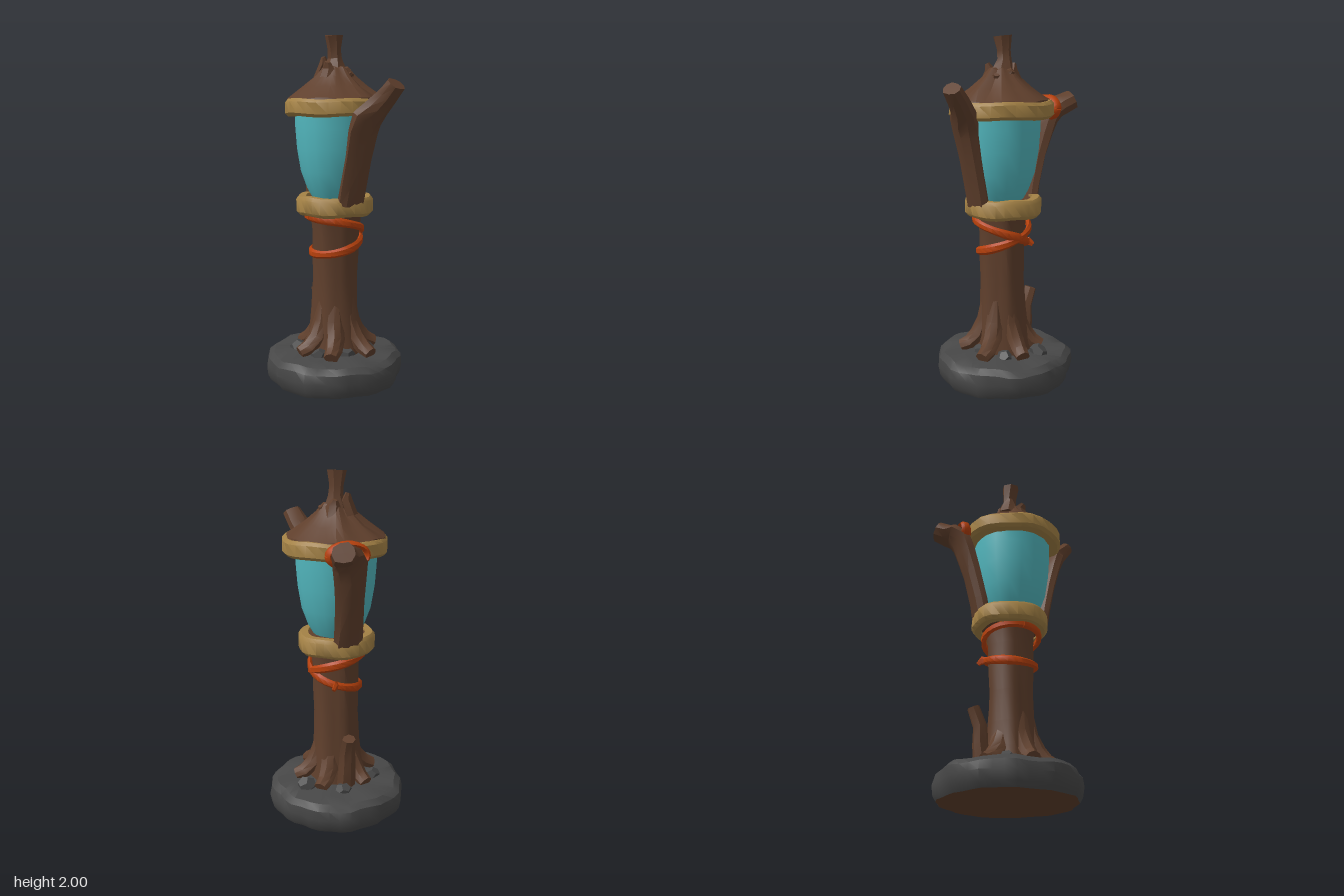
import * as THREE from 'three';
import { toCreasedNormals } from 'three/addons/utils/BufferGeometryUtils.js';

const material = (name, color) => {
  const m = new THREE.MeshStandardMaterial({ color });
  m.name = name;
  return m;
};

export function createModel() {
  const wood = material('wood', 0x5f3f2c);
  const stone = material('stone', 0x474747);
  const gold = material('gold', 0xa38145);
  const glass = material('glass', 0x52b7be);
  const rope = material('rope', 0xb5400c);

  const model = new THREE.Group();
  model.name = 'lantern';

  function add(name, geometry, mat, crease = 0.6) {
    const mesh = new THREE.Mesh(toCreasedNormals(geometry, crease), mat);
    mesh.name = name;
    model.add(mesh);
    return mesh;
  }

  // Turned shape; wobble(angle, y, r) returns [radius factor, y offset]
  function turned(profile, sides, wobble) {
    const g = new THREE.LatheGeometry(profile.map(p => new THREE.Vector2(p[0], p[1])), sides);
    const p = g.attributes.position;
    for (let i = 0; i < p.count; i++) {
      const x = p.getX(i), y = p.getY(i), z = p.getZ(i), r = Math.hypot(x, z);
      if (r < 1e-4) continue;
      const [s, dy] = wobble(Math.atan2(x, z), y, r);
      p.setXYZ(i, x * s, y + dy, z * s);
    }
    return g;
  }

  // Sweep an oval through sections [x, y, z, half width along ref, half depth]
  function sweep(sections, sides = 8, ref = new THREE.Vector3(1, 0, 0), lump = 0.06) {
    const pts = sections.map(s => new THREE.Vector3(s[0], s[1], s[2]));
    const n = pts.length, pos = [], index = [];
    sections.forEach((s, i) => {
      const t = pts[Math.min(i + 1, n - 1)].clone().sub(pts[Math.max(i - 1, 0)]).normalize();
      const side = ref.clone().addScaledVector(t, -ref.dot(t)).normalize();
      const out = t.clone().cross(side);
      for (let j = 0; j < sides; j++) {
        const a = (j / sides) * Math.PI * 2;
        const k = 1 + lump * Math.sin(j * 2.4 + i * 0.9);
        const v = pts[i].clone().addScaledVector(side, Math.cos(a) * s[3] * k)
          .addScaledVector(out, Math.sin(a) * s[4] * k);
        pos.push(v.x, v.y, v.z);
      }
    });
    for (let i = 0; i < n - 1; i++) for (let j = 0; j < sides; j++) {
      const k = (j + 1) % sides, a = i * sides + j, b = i * sides + k;
      index.push(a, b, b + sides, a, b + sides, a + sides);
    }
    const first = n * sides, last = first + 1, end = (n - 1) * sides;
    pos.push(...pts[0].toArray(), ...pts[n - 1].toArray());
    for (let j = 0; j < sides; j++) {
      const k = (j + 1) % sides;
      index.push(first, k, j, last, end + j, end + k);
    }
    const g = new THREE.BufferGeometry();
    g.setAttribute('position', new THREE.Float32BufferAttribute(pos, 3));
    g.setIndex(index);
    return g;
  }

  // Stone base with a scalloped, chipped edge, and its wooden underside
  const chipped = (a, y, r) => [
    1 + (r > 0.3 ? 0.018 * Math.sin(13 * a + 1) + 0.018 * Math.sin(5 * a + y * 12) : 0),
    y > 0.1 ? 0.006 * Math.sin(7 * a + r * 9) : 0];
  add('stoneBase', turned([[0.372, 0], [0.39, 0.03], [0.4, 0.085], [0.391, 0.135], [0.358, 0.165],
    [0.28, 0.174], [0, 0.178]], 40, chipped), stone, 0.6).position.z = -0.022;
  add('underside', turned([[0, 0], [0.372, 0]], 40, chipped), wood).position.z = -0.022;

  // Small rocks among the roots: angle, distance, size
  [[0.95, 0.18, 0.05], [2.0, 0.24, 0.06], [-1.1, 0.18, 0.05], [-2.1, 0.22, 0.055], [-0.1, 0.13, 0.06], [3.0, 0.22, 0.05]]
    .forEach(([a, d, s]) => {
      const rock = add('rock', new THREE.DodecahedronGeometry(s), stone, 0.3);
      rock.position.set(Math.sin(a) * d, 0.175, Math.cos(a) * d);
      rock.rotation.set(a, a * 2, 0);
      rock.scale.y = 0.8;
    });

  // Trunk, widening into the floor under the glass
  add('trunk', turned(
    [[0.16, 0.16], [0.144, 0.28], [0.132, 0.42], [0.124, 0.6], [0.129, 0.75], [0.13, 0.88], [0.14, 0.98], [0.195, 1.02], [0.195, 1.075], [0, 1.075]], 24,
    (a, y) => [1 + (y < 1 ? 0.045 * Math.sin(6 * a + y * 1.5) + 0.04 * Math.sin(3 * a + y * 5) : 0), 0]), wood).position.z = -0.01;

  // Roots spreading over the stone
  [[0.45, 1], [1.45, 0.97], [2.45, 0.95], [-0.6, 0.95], [-1.5, 0.98], [-2.6, 0.95]].forEach(([angle, s]) => {
    const root = add('root', sweep([
      [0, 0.52, 0.085, 0.03, 0.025], [0, 0.36, 0.1, 0.05, 0.045], [0.005, 0.27, 0.135, 0.054, 0.05],
      [0, 0.215, 0.195 * s, 0.05, 0.042], [-0.01, 0.19, 0.25 * s, 0.042, 0.034]], 8), wood);
    root.rotation.y = angle;
  });

  // Cut shoot at the back of the trunk
  add('sideShoot', sweep([[0, 0.17, -0.165, 0.055, 0.055], [0, 0.3, -0.187, 0.05, 0.044],
    [0, 0.4, -0.192, 0.046, 0.038], [0.005, 0.5, -0.23, 0.04, 0.034]], 7), wood, 0.5);

  // Gold rings above and below the glass
  const ring = (name, r, inner, y0, y1) => {
    const h = y1 - y0;
    return add(name, turned([[inner, y0], [r - 0.018, y0], [r, y0 + h * 0.18], [r, y0 + h * 0.82],
      [r - 0.016, y1], [inner, y1], [inner, y0]], 28,
      (a, y) => [1 + 0.01 * Math.sin(7 * a + y * 20) + 0.01 * Math.sin(4 * a), 0.004 * Math.sin(5 * a + r * 9)]), gold, 0.75);
  };
  ring('lowerRing', 0.222, 0.165, 0.982, 1.09).position.z = -0.015;
  ring('upperRing', 0.296, 0.225, 1.542, 1.638).position.x = 0.004;

  // Glass, bulging towards the top
  add('glass', turned([[0, 1.076], [0.132, 1.08], [0.16, 1.13], [0.196, 1.23], [0.217, 1.36], [0.226, 1.48], [0.227, 1.56], [0, 1.56]], 18,
    a => [1 + 0.012 * Math.sin(5 * a), 0]), glass, 0.5).position.x = -0.003;

  // Roof with worn radial boards
  add('roof', turned([[0, 1.565], [0.25, 1.565], [0.281, 1.622], [0.274, 1.64], [0.18, 1.703], [0.11, 1.762], [0.07, 1.81], [0, 1.82]], 36,
    (a, y) => [1 + (y > 1.66 ? 0.045 * Math.sin(9 * a) + 0.045 * Math.sin(4 * a + 2) : 0),
      y > 1.63 ? 0.006 * Math.sin(7 * a + 1) : 0]), wood, 0.4);

  // Finial and the splinters around it
  add('finial', sweep([[0, 1.75, -0.01, 0.085, 0.085], [0, 1.81, -0.015, 0.065, 0.065], [0.006, 1.86, -0.018, 0.042, 0.042],
    [0.002, 1.91, -0.018, 0.04, 0.04], [-0.003, 1.99, -0.012, 0.058, 0.05]], 7), wood, 0.4);
  [[0.5, 1.78, 0.1, 0.05], [1.5, 1.8, 0.09, 0.045], [2.6, 1.84, 0.075, 0.05], [-1.2, 1.84, 0.085, 0.055], [-2.4, 1.87, 0.07, 0.055]]
    .forEach(([angle, top, d, w]) => {
      const splinter = add('splinter', sweep([[0, top - 0.12, 0.1, w, 0.03],
        [0, top - 0.04, 0.065, w * 0.8, 0.03], [0.01, top, d, w * 0.35, 0.012]], 6), wood, 0.4);
      splinter.rotation.y = angle;
    });

  // Branches holding the roof, each bending outwards at the gold ring
  add('frontBranch', sweep([[-0.005, 1.05, 0.168, 0.087, 0.04], [0, 1.15, 0.188, 0.085, 0.042], [0.01, 1.32, 0.228, 0.083, 0.045],
    [0.018, 1.46, 0.265, 0.093, 0.052], [0.03, 1.53, 0.288, 0.096, 0.06], [0.068, 1.59, 0.325, 0.076, 0.058],
    [0.097, 1.655, 0.38, 0.064, 0.05], [0.115, 1.715, 0.432, 0.056, 0.043]], 9), wood, 0.55);
  add('backBranch', sweep([[0, 1.05, -0.195, 0.087, 0.04], [0, 1.15, -0.214, 0.085, 0.042], [0.01, 1.32, -0.253, 0.083, 0.047],
    [0.025, 1.45, -0.288, 0.09, 0.054], [0.04, 1.535, -0.312, 0.097, 0.056], [0.07, 1.588, -0.35, 0.088, 0.058],
    [0.1, 1.605, -0.39, 0.074, 0.058], [0.125, 1.63, -0.442, 0.062, 0.055]], 9), wood, 0.55);

  // Flat rope wound twice around the trunk, crossing on the model's left
  const winding = [];
  for (let i = 0; i <= 48; i++) {
    const t = (i / 48) * Math.PI * 4, r = 0.151 + 0.012 * Math.cos(t / 2);
    winding.push([-r * Math.cos(t), 0.865 + 0.108 * Math.cos(t / 2), r * Math.sin(t) - 0.008, 0.025 + 0.003 * Math.sin(t * 2.5), 0.016]);
  }
  const up = new THREE.Vector3(0, 1, 0);
  add('trunkRope', sweep(winding, 6, up, 0), rope, 0.8);
  add('ropeEnd', sweep([[0.04, 0.8, -0.14, 0.024, 0.012], [0.06, 0.81, -0.16, 0.026, 0.014], [0.08, 0.79, -0.178, 0.014, 0.01]], 5, up, 0), rope);

  // Flat rope tied tightly around the bend of the back branch
  const tie = [];
  for (let i = 0; i <= 24; i++) {
    const t = (i / 24) * Math.PI * 2, c = Math.cos(t), s = Math.sin(t);
    tie.push([0.05 + 0.104 * c, 1.584 + 0.064 * s, -0.308 + 0.014 * c - 0.006 * s, 0.029, 0.016]);
  }
  add('branchRope', sweep(tie, 6, new THREE.Vector3(0, 0, 1), 0), rope, 0.8);

  return model;
}
